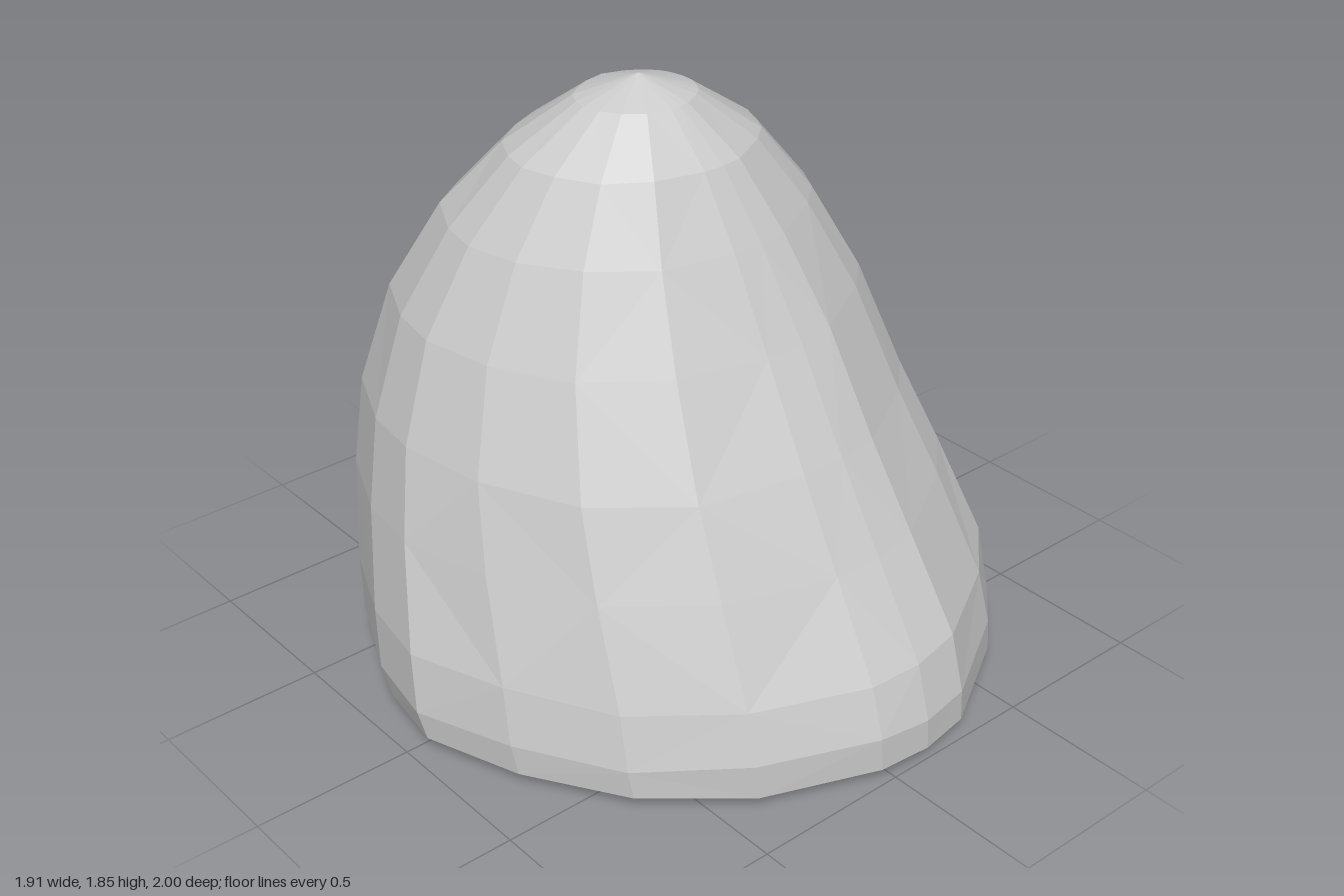
import * as THREE from 'three';

// Levels of the dome: y, left and right x limits, back and front z limits
const OUTER = [
  [0.00, -0.90, 0.91, -0.84, 0.94],
  [0.04, -0.945, 0.955, -0.885, 1.00],
  [0.14, -0.96, 0.955, -0.93, 1.00],
  [0.31, -0.945, 0.945, -0.955, 0.95],
  [0.60, -0.875, 0.87, -1.00, 0.785],
  [0.86, -0.81, 0.79, -0.98, 0.64],
  [1.16, -0.705, 0.69, -0.87, 0.475],
  [1.43, -0.57, 0.53, -0.675, 0.335],
  [1.64, -0.42, 0.34, -0.455, 0.22],
  [1.785, -0.24, 0.12, -0.24, 0.09],
];
const OUTER_TIP = [-0.06, 1.845, -0.06];

// Levels of the hollow underneath, lower and blunter than the dome
const INNER = [
  [0.00, -0.885, 0.895, -0.825, 0.925],
  [0.40, -0.70, 0.70, -0.74, 0.62],
  [0.80, -0.48, 0.46, -0.56, 0.30],
  [1.05, -0.25, 0.20, -0.32, 0.05],
];
const INNER_TIP = [-0.05, 1.12, -0.15];

// Uneven outline shared by all levels, in -1..1, from the +x side round the front
const PLAN = [
  [1, 0], [0.985, 0.22], [0.91, 0.43], [0.81, 0.62], [0.65, 0.77], [0.31, 0.97],
  [0.13, 1], [-0.05, 0.985], [-0.42, 0.84], [-0.7, 0.6], [-0.89, 0.29], [-1, -0.03],
  [-0.96, -0.28], [-0.82, -0.58], [-0.57, -0.77], [-0.3, -0.92], [0.07, -1],
  [0.43, -0.88], [0.64, -0.74], [0.86, -0.51], [0.94, -0.32], [0.985, -0.13],
];
const SIDES = PLAN.length;

// Repeatable irregularity for the hand-cut facets
function seeded(seed) {
  return () => (seed = (seed * 16807) % 2147483647) / 2147483647 - 0.5;
}

// One ring of the outline; the flat right front corner fills out with height
function ring([y, x0, x1, z0, z1]) {
  const rand = seeded(41 + Math.round(y * 1000));
  const cx = (x0 + x1) / 2, cz = (z0 + z1) / 2;
  const rx = (x1 - x0) / 2, rz = (z1 - z0) / 2;
  const fill = 0.2 * THREE.MathUtils.smoothstep(y, 0.2, 0.9);
  const jitter = y > 0.1 ? 0.03 * rx * rx : 0;
  return PLAN.map(([u, v]) => {
    const k = 1 + fill * Math.max(0, -u) * Math.max(0, v);
    return [cx + rx * u * k, y + rand() * jitter, cz + rz * v * k];
  });
}

// Skin a stack of rings; an optional tip closes the last ring
function skin(rings, tip) {
  const positions = [];
  const tri = (...corners) => corners.forEach((p) => positions.push(...p));
  for (let r = 0; r < rings.length - 1; r++) {
    for (let i = 0; i < SIDES; i++) {
      const j = (i + 1) % SIDES;
      const a = rings[r][i], b = rings[r][j], c = rings[r + 1][j], d = rings[r + 1][i];
      if ((i + r) % 2) {
        tri(a, d, c);
        tri(a, c, b);
      } else {
        tri(a, d, b);
        tri(b, d, c);
      }
    }
  }
  if (tip) {
    const last = rings[rings.length - 1];
    last.forEach((p, i) => tri(p, tip, last[(i + 1) % SIDES]));
  }
  const geometry = new THREE.BufferGeometry();
  geometry.setAttribute('position', new THREE.Float32BufferAttribute(positions, 3));
  geometry.computeVertexNormals();
  return geometry;
}

export function createModel() {
  const group = new THREE.Group();
  group.name = 'hollowDome';
  const material = new THREE.MeshStandardMaterial({
    color: 0xcccccc, flatShading: true, side: THREE.DoubleSide,
  });
  const add = (name, geometry) => {
    const mesh = new THREE.Mesh(geometry, material);
    mesh.name = name;
    group.add(mesh);
  };

  // Faceted outer shell with a bevelled foot
  const outer = OUTER.map(ring);
  add('outerShell', skin(outer, OUTER_TIP));

  // Hollow inside
  const inner = INNER.map(ring);
  add('innerWall', skin(inner, INNER_TIP));

  // Narrow rim joining the two walls underneath
  add('bottomRim', skin([inner[0], outer[0]]));

  return group;
}
